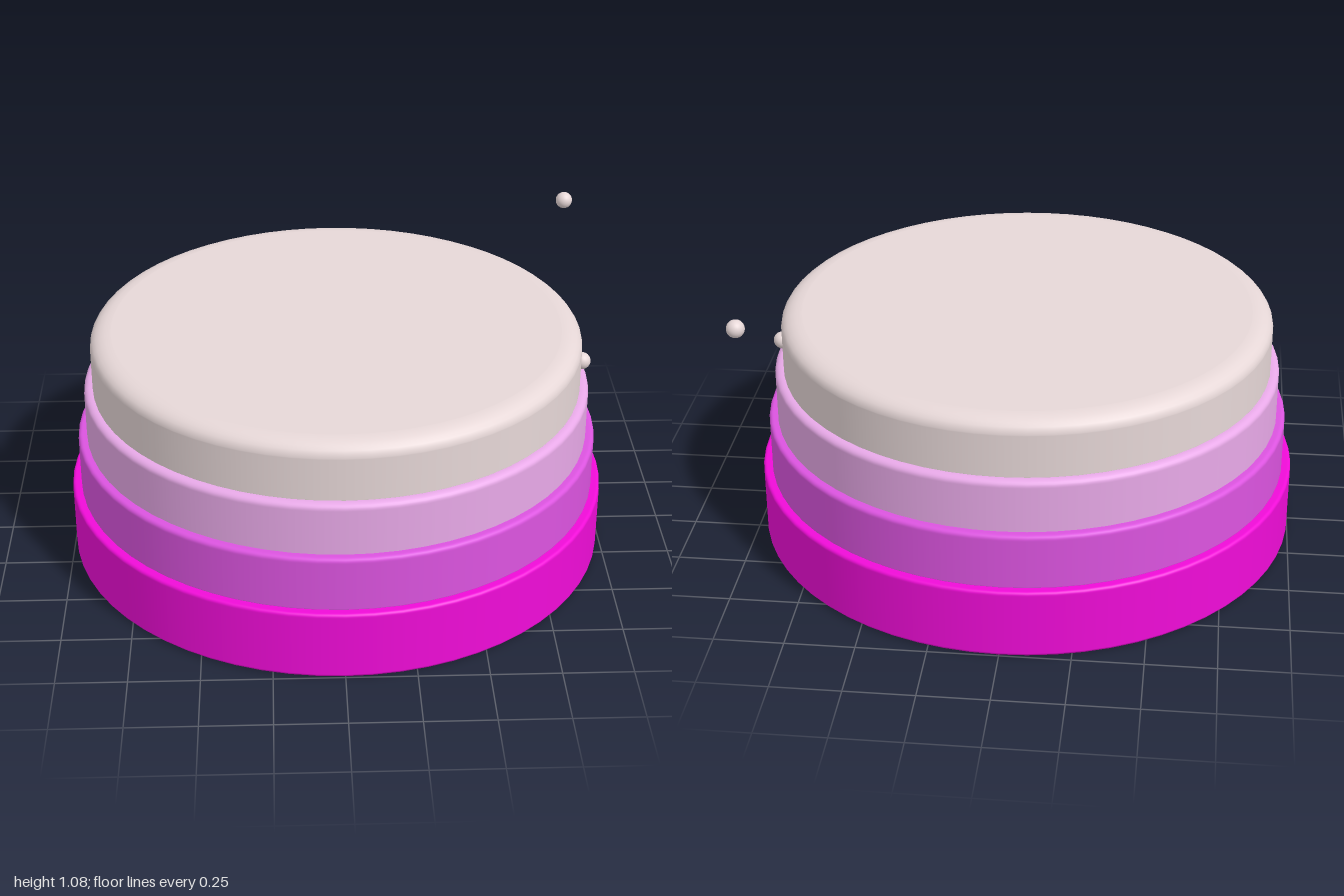
import * as THREE from 'three';

// Solid disc with an elliptical fillet (rx, ry) round its top rim and a small bevel below
function tier(name, radius, y0, y1, rx, ry, color) {
  const bevel = 0.008;
  const pts = [[0, y0], [radius - bevel - 0.004, y0], [radius - bevel, y0],
    [radius, y0 + bevel], [radius, y0 + bevel + 0.004], [radius, y1 - ry - 0.004]];
  const steps = 6;
  for (let i = 0; i <= steps; i++) {
    const a = (i / steps) * Math.PI / 2;
    pts.push([radius - rx + rx * Math.cos(a), y1 - ry + ry * Math.sin(a)]);
  }
  pts.push([radius - rx - 0.004, y1], [0, y1]);
  const geometry = new THREE.LatheGeometry(pts.map(([x, y]) => new THREE.Vector2(x, y)), 64);
  const mesh = new THREE.Mesh(geometry, new THREE.MeshStandardMaterial({ color }));
  mesh.name = name;
  return mesh;
}

export function createModel() {
  const group = new THREE.Group();
  group.name = 'tieredDisc';

  // Four stacked tiers, narrowing and paling upwards
  group.add(
    tier('baseTier', 1.0, 0, 0.26, 0.012, 0.012, 0xf00cd8),
    tier('lowerTier', 0.967, 0.25, 0.463, 0.015, 0.015, 0xdc54e0),
    tier('upperTier', 0.935, 0.45, 0.656, 0.025, 0.02, 0xe8a9e8),
    tier('topTier', 0.903, 0.645, 0.867, 0.075, 0.05, 0xe6d7d7),
  );

  // Small beads: one floating, one against the top tier
  const beadGeometry = new THREE.SphereGeometry(0.032, 24, 16);
  const beadMaterial = new THREE.MeshStandardMaterial({ color: 0xe6d7d7 });
  [['floatingBead', 0.922, 1.05, -0.677], ['sideBead', 0.922, 0.68, -0.02]].forEach(([name, x, y, z]) => {
    const bead = new THREE.Mesh(beadGeometry, beadMaterial);
    bead.name = name;
    bead.position.set(x, y, z);
    group.add(bead);
  });
  return group;
}
